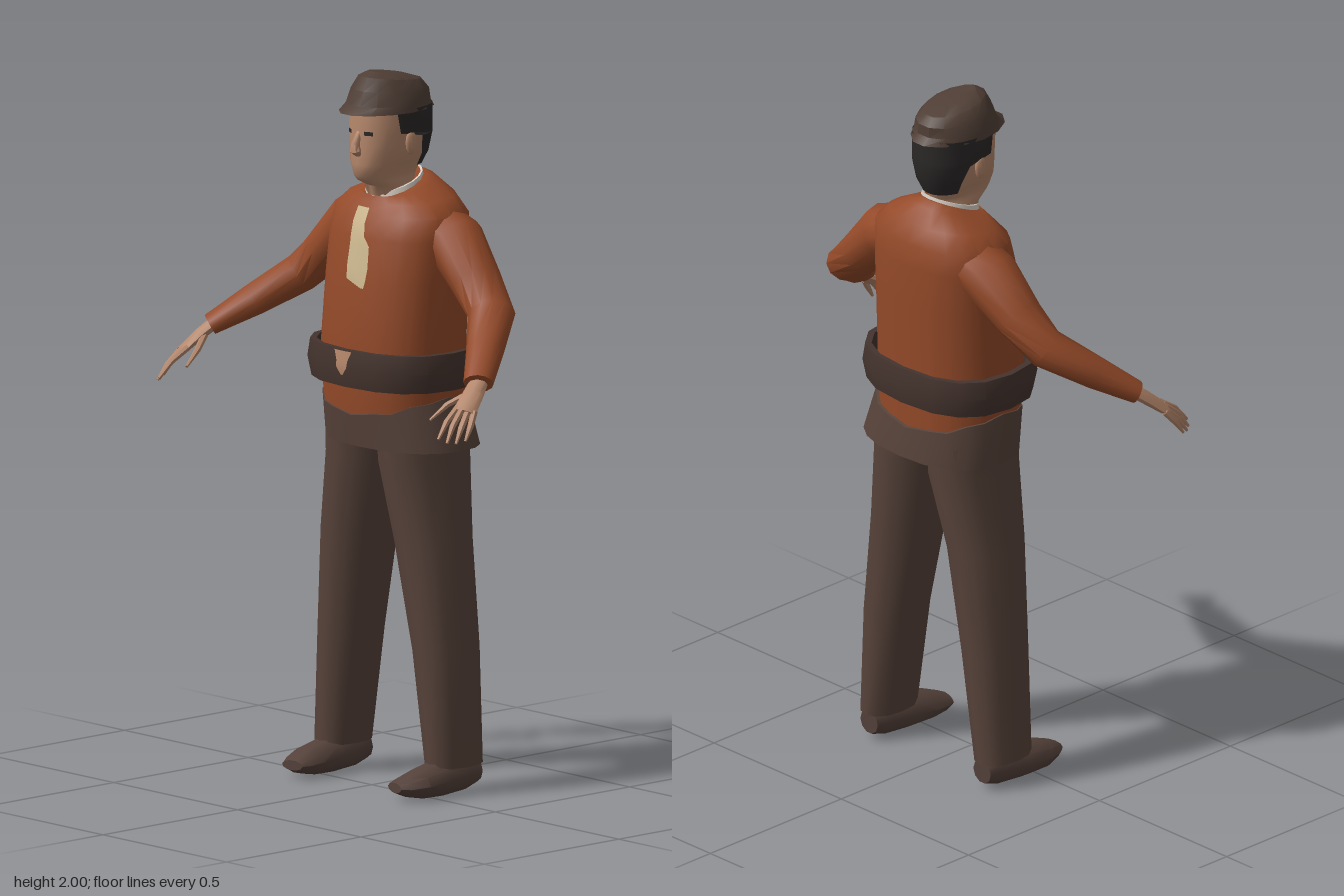
import * as THREE from 'three';
import { toCreasedNormals } from 'three/addons/utils/BufferGeometryUtils.js';

const V = (x, y, z) => new THREE.Vector3(x, y, z);
const mat = (name, color, side = THREE.FrontSide) => {
  const m = new THREE.MeshStandardMaterial({ color, side });
  m.name = name;
  return m;
};

// Horizontal superellipse ring; tilt raises y with depth, arc = [from, to] makes it open
function ring(y, cx, cz, rx, rz, { n = 16, p = 2, tilt = 0, arc } = {}) {
  const pts = [], count = arc ? n + 1 : n, [a0, a1] = arc || [0, Math.PI * 2];
  const pow = (v) => Math.sign(v) * Math.abs(v) ** (2 / p);
  for (let j = 0; j < count; j++) {
    const a = a0 + (a1 - a0) * j / n, z = pow(Math.sin(a)) * rz;
    pts.push(V(cx + pow(Math.cos(a)) * rx, y + tilt * z, cz + z));
  }
  return pts;
}

// Rings across a path of [x, y, z, r1, r2]; r1 lies along the hint direction
function limb(nodes, hint, n = 10) {
  const c = nodes.map((k) => V(k[0], k[1], k[2]));
  return nodes.map((k, i) => {
    const d = c[Math.min(i + 1, c.length - 1)].clone().sub(c[Math.max(i - 1, 0)]).normalize();
    const e1 = hint.clone().addScaledVector(d, -hint.dot(d)).normalize();
    const e2 = e1.clone().cross(d);
    return Array.from({ length: n }, (_, j) => {
      const a = j / n * Math.PI * 2;
      return c[i].clone().addScaledVector(e1, Math.cos(a) * k[3]).addScaledVector(e2, Math.sin(a) * k[4]);
    });
  });
}

// Skin a list of rings; side -1 mirrors in x
function loft(name, rings, material, { side = 1, closed = true, caps = closed, crease = 0.8 } = {}) {
  const n = rings[0].length, pos = [], idx = [];
  const tri = (a, b, c) => (side > 0 ? idx.push(a, b, c) : idx.push(a, c, b));
  rings.flat().forEach((v) => pos.push(v.x * side, v.y, v.z));
  for (let i = 0; i < rings.length - 1; i++) {
    for (let j = 0; j < (closed ? n : n - 1); j++) {
      const a = i * n + j, b = i * n + (j + 1) % n;
      tri(a, a + n, b);
      tri(b, a + n, b + n);
    }
  }
  if (caps) {
    [0, rings.length - 1].forEach((r) => {
      const m = rings[r].reduce((s, v) => s.add(v), V(0, 0, 0)).divideScalar(n);
      const k = pos.push(m.x * side, m.y, m.z) / 3 - 1;
      for (let j = 0; j < n; j++) {
        const a = r * n + j, b = r * n + (j + 1) % n;
        r === 0 ? tri(k, a, b) : tri(k, b, a);
      }
    });
  }
  const g = new THREE.BufferGeometry();
  g.setAttribute('position', new THREE.Float32BufferAttribute(pos, 3));
  g.setIndex(idx);
  const mesh = new THREE.Mesh(toCreasedNormals(g, crease), material);
  mesh.name = name;
  return mesh;
}

// Thin face laid on the front of a mesh, from rows of [y, xLeft, xRight]
function decal(name, target, rows, material, lift = 0.005) {
  const ray = new THREE.Raycaster();
  const rings = rows.map(([y, x0, x1]) => [0, 1, 2, 3].map((k) => {
    const x = x0 + (x1 - x0) * k / 3;
    ray.set(V(x, y, 2), V(0, 0, -1));
    const hit = ray.intersectObject(target)[0];
    return V(x, y, (hit ? hit.point.z : 0) + lift);
  }));
  return loft(name, rings, material, { closed: false });
}

export function createModel() {
  const model = new THREE.Group();
  model.name = 'figure';
  const tunicMat = mat('rust tunic', 0x944a29);
  const trouserMat = mat('brown trousers', 0x57433a);
  const shoeMat = mat('brown shoes', 0x54413a);
  const hatMat = mat('dark brown hat', 0x4f3e35);
  const beltMat = mat('dark belt', 0x45342e);
  const hairMat = mat('black hair', 0x2b2727, THREE.DoubleSide);
  const skinMat = mat('skin', 0xb5876b, THREE.DoubleSide);
  const scarfMat = mat('cream scarf', 0xcdb88f, THREE.DoubleSide);
  const collarMat = mat('pale collar', 0xd8d0c6);
  const add = (...m) => model.add(...m);

  // Tunic body: y, cz, rx, rz, tilt
  const torso = loft('tunic', [
    [1.02, -0.088, 0.205, 0.158, 0], [1.2, -0.08, 0.212, 0.168, 0], [1.42, -0.094, 0.21, 0.16, 0],
    [1.54, -0.105, 0.212, 0.15, 0], [1.605, -0.113, 0.208, 0.138, 0], [1.645, -0.112, 0.165, 0.115, -0.1],
    [1.675, -0.1, 0.1, 0.095, -0.25], [1.68, -0.09, 0.078, 0.08, -0.4],
  ].map(([y, cz, rx, rz, tilt]) => ring(y, 0, cz, rx, rz, { p: 2.4, tilt, n: 20 })), tunicMat);
  add(torso);

  // Flared hem, its upper edge dipping at front and back
  const hemTop = ring(1.105, 0, -0.088, 0.213, 0.167, { p: 2.4, n: 20 });
  hemTop.forEach((v, j) => { v.y -= 0.05 * Math.sin(j / 20 * Math.PI * 2) ** 2 + 0.007 * (j % 2); });
  add(loft('hem', [ring(0.96, 0.018, -0.1, 0.236, 0.164, { p: 2.4, n: 20 }), hemTop], trouserMat));

  // Belt standing away from the waist
  add(loft('belt', [
    [1.13, 0.226, 0.178], [1.13, 0.24, 0.187], [1.185, 0.252, 0.196], [1.235, 0.244, 0.19],
    [1.235, 0.225, 0.176], [1.13, 0.226, 0.178],
  ].map(([y, rx, rz]) => ring(y, 0, -0.085, rx, rz, { n: 16, p: 2.5 })), beltMat, { caps: false, crease: 0.6 }));
  const belt = model.children[model.children.length - 1];
  add(decal('buckle', belt, [[1.165, -0.004, 0.004], [1.186, -0.02, 0.02], [1.205, -0.022, 0.022], [1.232, -0.034, 0.034]], skinMat));

  // Scarf hanging down the chest
  add(decal('scarf', torso, [
    [1.405, 0.03, 0.04], [1.425, -0.028, 0.045], [1.46, -0.033, 0.048], [1.52, -0.032, 0.043],
    [1.545, -0.034, 0.02], [1.58, -0.037, 0.012], [1.62, -0.037, 0.01],
  ], scarfMat));

  // Head and neck
  const head = loft('head', [
    [1.6, -0.09, 0.062, 0.07], [1.68, -0.07, 0.062, 0.074], [1.698, -0.052, 0.057, 0.092], [1.712, -0.05, 0.056, 0.103],
    [1.745, -0.054, 0.075, 0.11], [1.8, -0.06, 0.088, 0.113], [1.86, -0.065, 0.093, 0.117], [1.91, -0.065, 0.09, 0.112],
  ].map(([y, cz, rx, rz]) => ring(y, 0, cz, rx, rz, { p: 2.2, n: 20 })), skinMat);
  add(head);
  add(loft('nose', limb([[0, 1.845, 0.04, 0.008, 0.008], [0, 1.80, 0.06, 0.012, 0.013],
    [0, 1.785, 0.061, 0.018, 0.014], [0, 1.772, 0.05, 0.013, 0.008]], V(1, 0, 0), 8), skinMat));
  add(decal('mouth', head, [[1.742, -0.021, 0.021], [1.75, -0.021, 0.021]], beltMat, 0.003));
  for (const s of [1, -1]) {
    add(decal('eye', head, [[1.829, s * 0.037 - 0.012, s * 0.037 + 0.012], [1.84, s * 0.037 - 0.012, s * 0.037 + 0.012]], hairMat, 0.003));
    add(decal('eyebrow', head, [[1.855, s * 0.038 - 0.018, s * 0.038 + 0.018], [1.861, s * 0.038 - 0.018, s * 0.038 + 0.018]], beltMat, 0.003));
    const ear = new THREE.Mesh(new THREE.SphereGeometry(1, 8, 6), skinMat);
    ear.name = 'ear';
    ear.scale.set(0.01, 0.034, 0.02);
    ear.position.set(s * 0.094, 1.805, -0.06);
    add(ear);
  }

  // Hair wrapped around the back of the head, with sideburns
  add(loft('hair', [
    [1.73, 0.066, 0.105, -0.45], [1.765, 0.083, 0.122, -0.4], [1.82, 0.099, 0.13, -0.25],
    [1.835, 0.1, 0.13, 0.3], [1.9, 0.1, 0.128, 0.4],
  ].map(([y, rx, rz, a]) => ring(y, 0, -0.064, rx, rz, { n: 14, p: 2.2, arc: [a, -Math.PI - a] })), hairMat, { closed: false }));

  // Hat: pointed brim, then a crown that peaks toward the front
  const brim = ring(1.89, 0, -0.055, 0.104, 0.154, { n: 14, p: 1.9 });
  add(loft('hat', [
    ring(1.897, 0, -0.06, 0.088, 0.112, { n: 14 }), brim,
    ...[[1.91, -0.062, 0.1, 0.128, 0], [1.945, -0.068, 0.09, 0.12, 0.05],
      [1.975, -0.068, 0.068, 0.1, 0.12], [1.99, -0.055, 0.036, 0.06, 0.16]]
      .map(([y, cz, rx, rz, tilt]) => ring(y, 0, cz, rx, rz, { n: 14, tilt })),
  ], hatMat, { crease: 0.55 }));

  // Pale collar rising at the nape
  add(loft('collar', [[1.672, 0.08, 0.082], [1.69, 0.076, 0.079], [1.69, 0.07, 0.073]]
    .map(([y, rx, rz]) => ring(y, 0, -0.085, rx, rz, { tilt: -0.36 })), collarMat, { caps: false }));

  for (const side of [1, -1]) {
    // Sleeve
    add(loft('sleeve', limb([
      [0.1, 1.575, -0.125, 0.07, 0.085], [0.2, 1.535, -0.128, 0.08, 0.085], [0.3, 1.44, -0.113, 0.064, 0.073],
      [0.385, 1.365, -0.092, 0.055, 0.066], [0.47, 1.288, 0.01, 0.045, 0.053], [0.543, 1.222, 0.102, 0.03, 0.042],
    ], V(0, 1, 0), 12), tunicMat, { side }));

    // Hand: palm, thumb and four fingers
    const across = V(0.85, -0.1, -0.52);
    add(loft('palm', limb([[0.535, 1.228, 0.09, 0.026, 0.018], [0.553, 1.198, 0.13, 0.03, 0.017],
      [0.572, 1.155, 0.182, 0.034, 0.012]], across, 8), skinMat, { side }));
    const fingers = [
      [[0.547, 1.168, 0.182], [0.557, 1.135, 0.233], [0.565, 1.092, 0.272]],
      [[0.563, 1.163, 0.182], [0.576, 1.125, 0.228], [0.585, 1.082, 0.258]],
      [[0.578, 1.158, 0.174], [0.593, 1.12, 0.212], [0.6, 1.08, 0.238]],
      [[0.591, 1.158, 0.162], [0.606, 1.122, 0.19], [0.611, 1.086, 0.213]],
      [[0.538, 1.2, 0.125], [0.505, 1.168, 0.183], [0.492, 1.13, 0.236]],
    ];
    fingers.forEach((pts, i) => add(loft(i === 4 ? 'thumb' : 'finger',
      limb(pts.map((p, k) => [...p, [0.01, 0.009, 0.004][k], [0.01, 0.009, 0.004][k]]), across, 6), skinMat, { side })));

    // Trouser leg: y, cx, cz, rx, rz
    add(loft('trouserLeg', [
      [0.08, 0.224, -0.1, 0.056, 0.09], [0.4, 0.192, -0.1, 0.077, 0.098], [0.7, 0.149, -0.093, 0.093, 0.112],
      [0.92, 0.106, -0.098, 0.1, 0.137], [1.02, 0.103, -0.095, 0.1, 0.14],
    ].map(([y, cx, cz, rx, rz]) => ring(y, cx, cz, rx, rz, { n: 12, p: 2.3 })), trouserMat, { side }));

    // Shoe, heel to toe
    add(loft('shoe', limb([
      [0.222, 0.055, -0.178, 0.034, 0.035], [0.222, 0.056, -0.13, 0.046, 0.05], [0.222, 0.05, -0.04, 0.058, 0.05],
      [0.22, 0.043, 0.03, 0.058, 0.041], [0.212, 0.039, 0.08, 0.047, 0.026], [0.207, 0.04, 0.105, 0.035, 0.014],
    ], V(1, 0, 0), 10), shoeMat, { side }));
  }
  return model;
}
